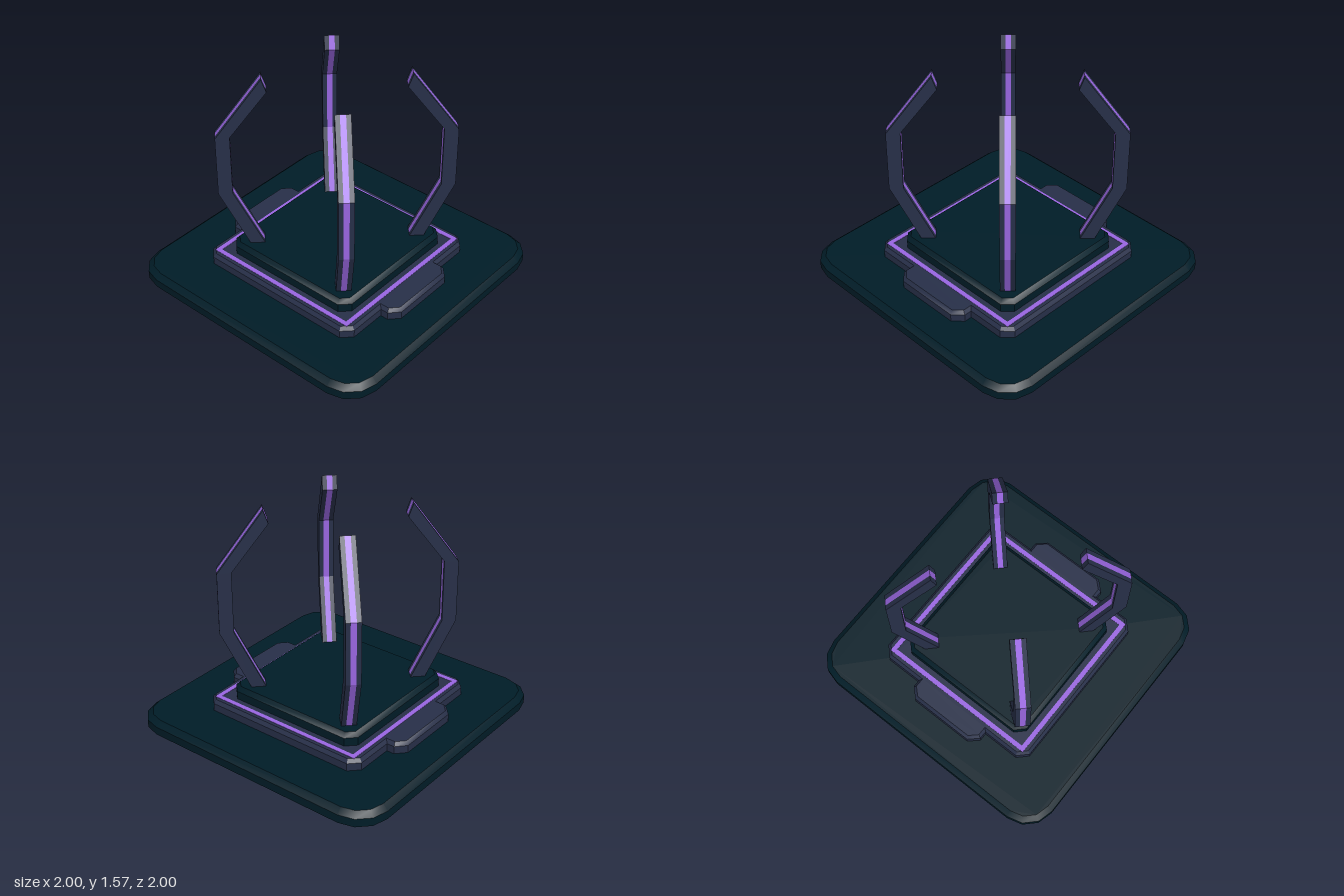
import * as THREE from 'three';
import { toCreasedNormals } from 'three/addons/utils/BufferGeometryUtils.js';

const dark = new THREE.MeshStandardMaterial({ color: 0x001c27, side: THREE.DoubleSide });
dark.name = 'dark teal';
const slate = new THREE.MeshStandardMaterial({ color: 0x272f48 });
slate.name = 'slate';
const purple = new THREE.MeshStandardMaterial({ color: 0x9865e0 });
purple.name = 'purple glow';

// Move a counter-clockwise outline inward by d with mitred corners
function insetOutline(pts, d) {
  const n = pts.length;
  const normal = (a, b) => {
    const e = b.clone().sub(a).normalize();
    return new THREE.Vector2(-e.y, e.x);
  };
  return pts.map((p, i) => {
    const n1 = normal(pts[(i + n - 1) % n], p);
    const n2 = normal(p, pts[(i + 1) % n]);
    return p.clone().addScaledVector(n1.clone().add(n2), d / (1 + n1.dot(n2)));
  });
}

// Shell with straight walls, a bevelled top edge and an open underside
function plate(name, pts, y0, yBevel, y1, inset, material) {
  const top = insetOutline(pts, inset);
  const rings = [[pts, y0], [pts, yBevel], [top, y1]];
  const pos = [];
  const put = (p, y) => pos.push(p.x, y, -p.y);
  for (let r = 0; r < 2; r++) {
    const [a, ya] = rings[r];
    const [b, yb] = rings[r + 1];
    for (let i = 0; i < a.length; i++) {
      const j = (i + 1) % a.length;
      put(a[i], ya); put(a[j], ya); put(b[j], yb);
      put(a[i], ya); put(b[j], yb); put(b[i], yb);
    }
  }
  for (const [i, j, k] of THREE.ShapeUtils.triangulateShape(top, [])) {
    put(top[i], y1); put(top[j], y1); put(top[k], y1);
  }
  const geo = new THREE.BufferGeometry();
  geo.setAttribute('position', new THREE.Float32BufferAttribute(pos, 3));
  const mesh = new THREE.Mesh(toCreasedNormals(geo, 0.6), material);
  mesh.name = name;
  return mesh;
}

// Square outline with corners cut in the given number of steps
function squareOutline(half, cut, steps) {
  const pts = [];
  for (let q = 0; q < 4; q++) {
    const mid = Math.PI / 4 + q * Math.PI / 2;
    const cx = Math.sign(Math.cos(mid)) * (half - cut);
    const cy = Math.sign(Math.sin(mid)) * (half - cut);
    for (let s = 0; s <= steps; s++) {
      const a = (q + s / steps) * Math.PI / 2;
      pts.push(new THREE.Vector2(cx + cut * Math.cos(a), cy + cut * Math.sin(a)));
    }
  }
  return pts;
}

// Square with a chamfered tab on each side
function tabbedOutline() {
  const half = [[0.643, -0.303], [0.7, -0.303], [0.763, -0.235], [0.763, 0.235],
    [0.7, 0.303], [0.643, 0.303], [0.643, 0.575], [0.575, 0.643], [-0.575, 0.643], [-0.643, 0.575]];
  return [1, -1].flatMap(s => half.map(([x, y]) => new THREE.Vector2(s * x, s * y)));
}

// Bent arm made of a glowing core between two side panels
function arm() {
  const group = new THREE.Group();
  const profile = new THREE.Shape([[0.495, 0.255], [0.595, 0.255], [0.799, 0.695], [0.799, 1.134],
    [0.486, 1.57], [0.453, 1.475], [0.702, 1.14], [0.702, 0.695]]
    .map(([r, y]) => new THREE.Vector2(r, y)));
  const layers = [
    ['armSidePanel', -0.051, 0.032, slate],
    ['armGlowCore', -0.019, 0.038, purple],
    ['armSidePanel', 0.019, 0.032, slate],
  ];
  for (const [name, z, depth, material] of layers) {
    const geo = new THREE.ExtrudeGeometry(profile, { depth, bevelEnabled: false });
    geo.translate(0, 0, z);
    const mesh = new THREE.Mesh(geo, material);
    mesh.name = name;
    group.add(mesh);
  }
  return group;
}

export function createModel() {
  const model = new THREE.Group();
  model.name = 'pedestal';

  // Stacked plates, the base hollow from below
  model.add(plate('basePlate', squareOutline(1, 0.22, 3), 0, 0.06, 0.095, 0.04, dark));
  model.add(plate('middlePlate', tabbedOutline(), 0.095, 0.15, 0.175, 0.02, slate));
  model.add(plate('upperPlate', squareOutline(0.527, 0.065, 1), 0.175, 0.235, 0.265, 0.028, dark));

  // Glowing square line around the upper plate
  const square = h => [[-h, -h], [h, -h], [h, h], [-h, h]].map(([x, y]) => new THREE.Vector2(x, y));
  const frame = new THREE.Shape(square(0.599));
  frame.holes.push(new THREE.Path(square(0.566).reverse()));
  const lineGeo = new THREE.ExtrudeGeometry(frame, { depth: 0.004, bevelEnabled: false });
  lineGeo.rotateX(-Math.PI / 2);
  const line = new THREE.Mesh(lineGeo, purple);
  line.name = 'glowLine';
  line.position.y = 0.173;
  model.add(line);

  // Four arms on the diagonals
  ['backLeftArm', 'backRightArm', 'frontRightArm', 'frontLeftArm'].forEach((name, i) => {
    const a = arm();
    a.name = name;
    a.rotation.y = Math.PI / 4 + i * Math.PI / 2;
    model.add(a);
  });

  return model;
}
